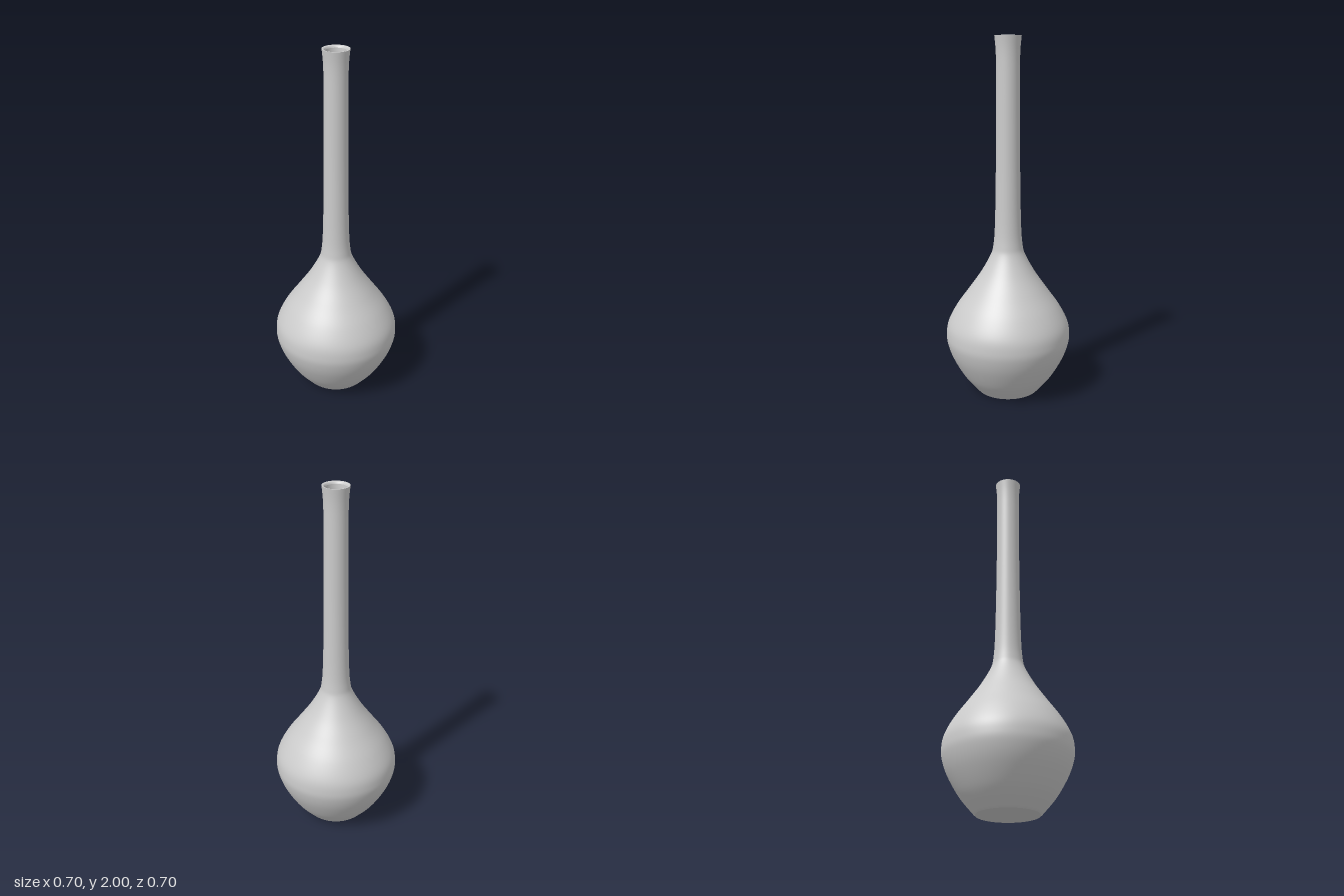
import * as THREE from 'three';

const SEGMENTS = 96;

// Smooth curve through [radius, height] pairs
function smoothProfile(pairs, samples) {
  return new THREE.SplineCurve(pairs.map(([r, y]) => new THREE.Vector2(r, y))).getPoints(samples);
}

export function createModel() {
  const vase = new THREE.Group();
  vase.name = 'vase';
  const material = new THREE.MeshStandardMaterial({ color: 0xcccccc });

  const addLathe = (name, points) => {
    const mesh = new THREE.Mesh(new THREE.LatheGeometry(points, SEGMENTS), material);
    mesh.name = name;
    vase.add(mesh);
  };
  const addDisc = (name, radius, y, facing) => {
    const mesh = new THREE.Mesh(new THREE.CircleGeometry(radius, SEGMENTS), material);
    mesh.rotation.x = -facing * Math.PI / 2;
    mesh.position.y = y;
    mesh.name = name;
    vase.add(mesh);
  };

  // Outer wall: round bulb, long slim neck, slightly flared mouth
  addLathe('outerWall', smoothProfile([
    [0.168, 0], [0.188, 0.02], [0.254, 0.1], [0.312, 0.2], [0.342, 0.28], [0.349, 0.34],
    [0.337, 0.41], [0.29, 0.5], [0.219, 0.6], [0.15, 0.7], [0.096, 0.8], [0.081, 0.86],
    [0.073, 0.97], [0.068, 1.2], [0.065, 1.5], [0.064, 1.8], [0.066, 1.92], [0.073, 2],
  ], 120));

  // Rim: gently rounded ring joining the outer and inner walls
  addLathe('rim', smoothProfile([[0.073, 2], [0.068, 2], [0.061, 1.996], [0.057, 1.988]], 10));

  // Inner wall, running down from the mouth to the floor
  addLathe('innerWall', smoothProfile([
    [0.057, 1.988], [0.055, 1.9], [0.055, 1.5], [0.056, 1.2], [0.06, 0.97], [0.068, 0.86],
    [0.082, 0.8], [0.135, 0.7], [0.204, 0.6], [0.275, 0.5], [0.321, 0.41], [0.333, 0.34],
    [0.326, 0.28], [0.296, 0.2], [0.238, 0.1], [0.165, 0.02],
  ], 100));

  // Flat floor inside and flat foot underneath
  addDisc('innerFloor', 0.165, 0.02, 1);
  addDisc('foot', 0.168, 0, -1);

  return vase;
}
